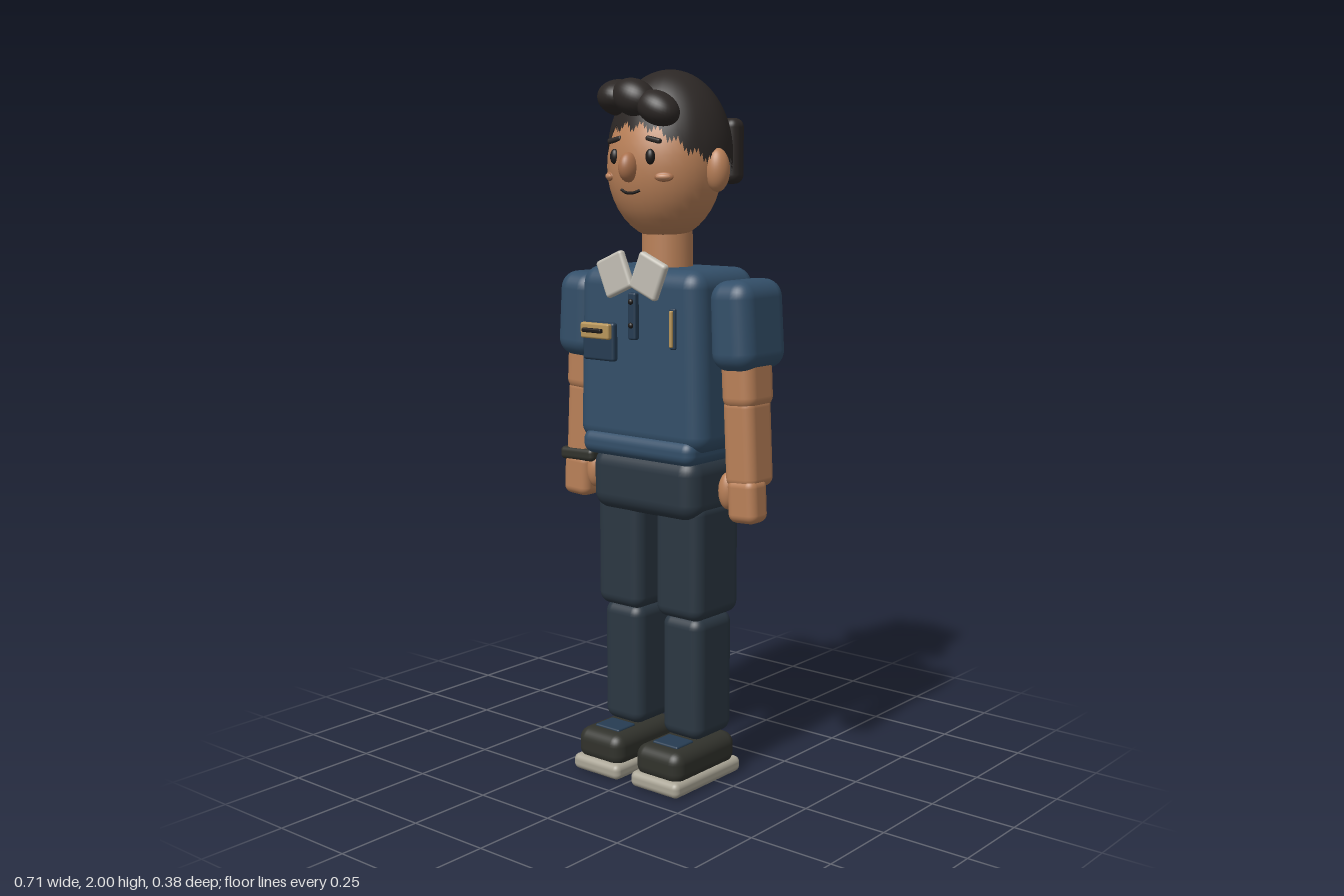
import * as THREE from 'three';
import { RoundedBoxGeometry } from 'three/addons/geometries/RoundedBoxGeometry.js';

const mat = (color) => new THREE.MeshStandardMaterial({ color });
const M = {
  skin: mat(0xb98058), shade: mat(0xa9704c), cheek: mat(0xc28a66), hair: mat(0x2c2725), ink: mat(0x1d1a19),
  shirt: mat(0x334f69), trim: mat(0x263c52), pants: mat(0x2b3742), shoe: mat(0x31322c),
  sole: mat(0xaaa596), collar: mat(0xc2beb4), gold: mat(0xb8965a),
};
M.hair.side = THREE.DoubleSide;

export function createModel() {
  const model = new THREE.Group();
  model.name = 'figure';

  const add = (name, geo, material, x, y, z, rz = 0) => {
    const mesh = new THREE.Mesh(geo, material);
    mesh.name = name;
    mesh.position.set(x, y, z);
    mesh.rotation.z = rz;
    model.add(mesh);
    return mesh;
  };
  const box = (name, material, w, h, d, x, y, z, r = 0.03, rz = 0) =>
    add(name, new RoundedBoxGeometry(w, h, d, 4, Math.min(r, w / 2.01, h / 2.01, d / 2.01)), material, x, y, z, rz);
  const ball = (name, material, rx, ry, rz, x, y, z, roll = 0) =>
    add(name, new THREE.SphereGeometry(1, 32, 20).scale(rx, ry, rz), material, x, y, z, roll);
  // widen a part linearly from top to bottom
  const taper = (mesh, h, top, bottom) => {
    const p = mesh.geometry.attributes.position;
    for (let i = 0; i < p.count; i++) {
      p.setX(i, p.getX(i) * THREE.MathUtils.lerp(bottom, top, p.getY(i) / h + 0.5));
    }
  };

  // torso, hem, hips
  taper(box('torso', M.shirt, 0.44, 0.5, 0.275, 0, 1.215, -0.008, 0.05), 0.5, 0.97, 1.04);
  box('shirtHem', M.shirt, 0.4, 0.07, 0.28, 0, 0.968, 0, 0.03);
  box('hips', M.pants, 0.38, 0.18, 0.25, 0, 0.86, -0.008, 0.05);

  // limbs, mirrored
  for (const s of [-1, 1]) {
    const tilt = s * 0.05;
    taper(box('sleeve', M.shirt, 0.138, 0.245, 0.205, s * 0.277, 1.318, -0.012, 0.05, tilt), 0.245, 0.96, 1.02);
    box('upperArm', M.skin, 0.108, 0.2, 0.13, s * 0.282, 1.19, -0.005, 0.035, tilt);
    box('forearm', M.skin, 0.1, 0.25, 0.115, s * 0.29, 1.0, -0.003, 0.028, tilt);
    box('hand', M.skin, 0.095, 0.125, 0.08, s * 0.303, 0.843, 0.017, 0.025, tilt);
    ball('thumb', M.skin, 0.027, 0.052, 0.027, s * 0.243, 0.862, 0.025);

    box('thigh', M.pants, 0.164, 0.34, 0.2, s * 0.108, 0.652, -0.01, 0.035);
    box('shin', M.pants, 0.142, 0.36, 0.168, s * 0.109, 0.31, -0.01, 0.035);
    box('shoe', M.shoe, 0.165, 0.095, 0.275, s * 0.109, 0.08, 0.042, 0.035);
    box('shoeTongue', M.trim, 0.09, 0.012, 0.075, s * 0.109, 0.127, 0.098, 0.005);
    box('sole', M.sole, 0.174, 0.046, 0.3, s * 0.109, 0.025, 0.04, 0.018);

    // collar flap
    box('collarFlap', M.collar, 0.1, 0.108, 0.024, s * 0.06, 1.447, 0.143, 0.01, -s * 0.4);
  }
  box('wristband', M.shoe, 0.128, 0.038, 0.132, -0.293, 0.905, -0.005, 0.014, 0.03);

  // shirt details
  box('placket', M.trim, 0.028, 0.13, 0.02, 0, 1.335, 0.138, 0.006);
  for (const y of [1.375, 1.31]) ball('button', M.ink, 0.008, 0.008, 0.006, 0, y, 0.15);
  box('pocket', M.trim, 0.115, 0.108, 0.022, -0.122, 1.258, 0.138, 0.008);
  box('badge', M.gold, 0.105, 0.044, 0.018, -0.122, 1.288, 0.156, 0.006);
  box('badgeBar', M.ink, 0.07, 0.012, 0.014, -0.122, 1.29, 0.172, 0.004);
  box('penRim', M.trim, 0.02, 0.112, 0.014, 0.135, 1.308, 0.13, 0.005);
  box('pen', M.gold, 0.01, 0.1, 0.02, 0.135, 1.308, 0.135, 0.004);

  // neck and head
  add('neck', new THREE.CylinderGeometry(0.07, 0.073, 0.16, 32), M.skin, 0, 1.5, -0.008);
  ball('head', M.skin, 0.165, 0.2, 0.15, 0, 1.738, 0.005);
  for (const s of [-1, 1]) {
    ball('ear', M.skin, 0.034, 0.059, 0.034, s * 0.173, 1.73, -0.01);
    ball('eye', M.ink, 0.014, 0.021, 0.012, s * 0.063, 1.765, 0.14);
    ball('cheek', M.shade, 0.026, 0.013, 0.008, s * 0.096, 1.712, 0.123).rotation.y = s * 0.55;
    ball('cheekBlush', M.cheek, 0.021, 0.009, 0.01, s * 0.096, 1.712, 0.125).rotation.y = s * 0.55;
    box('eyebrow', M.hair, 0.05, 0.014, 0.016, s * 0.068, 1.81, 0.132, 0.006, -s * 0.2);
  }
  ball('nose', M.shade, 0.025, 0.04, 0.032, 0, 1.737, 0.156);
  const smile = new THREE.QuadraticBezierCurve3(
    new THREE.Vector3(-0.033, 0.006, -0.004), new THREE.Vector3(0, -0.012, 0.006), new THREE.Vector3(0.033, 0.006, -0.004));
  add('mouth', new THREE.TubeGeometry(smile, 16, 0.004, 8), M.ink, 0, 1.671, 0.151);

  // hair cap: a dome whose lower edge follows a jagged hairline
  const cap = new THREE.SphereGeometry(1, 96, 20);
  const p = cap.attributes.position, uv = cap.attributes.uv;
  for (let i = 0; i < p.count; i++) {
    let a = (uv.getX(i) - 0.25) * Math.PI * 2;
    a = Math.atan2(Math.sin(a), Math.cos(a));
    const b = Math.abs(a);
    const front = THREE.MathUtils.smoothstep(b, 0.2, 1.35);
    const back = THREE.MathUtils.smoothstep(b, 1.5, 2.4);
    const jag = b < 1.5 ? Math.abs(((b * 3.2) % 1) - 0.5) * 0.05 : 0;
    const edge = 1.85 - 0.085 * front - 0.055 * back - jag;
    const t = (1 - uv.getY(i)) * Math.acos((edge - 1.77) / 0.23);
    p.setXYZ(i, Math.sin(a) * Math.sin(t) * 0.177, Math.cos(t) * 0.23, Math.cos(a) * Math.sin(t) * 0.168);
  }
  cap.computeVertexNormals();
  add('hairCap', cap, M.hair, 0, 1.77, -0.02);
  box('hairBack', M.hair, 0.294, 0.18, 0.06, 0, 1.78, -0.148, 0.025);

  // swept fringe locks
  const lock1 = ball('fringeLock', M.hair, 0.063, 0.05, 0.085, -0.092, 1.923, 0.08, -0.15);
  lock1.rotation.y = 0.4;
  ball('fringeLock', M.hair, 0.068, 0.05, 0.052, -0.015, 1.922, 0.114, -0.35);
  ball('fringeLock', M.hair, 0.068, 0.045, 0.05, 0.062, 1.893, 0.108, -0.4);

  return model;
}
